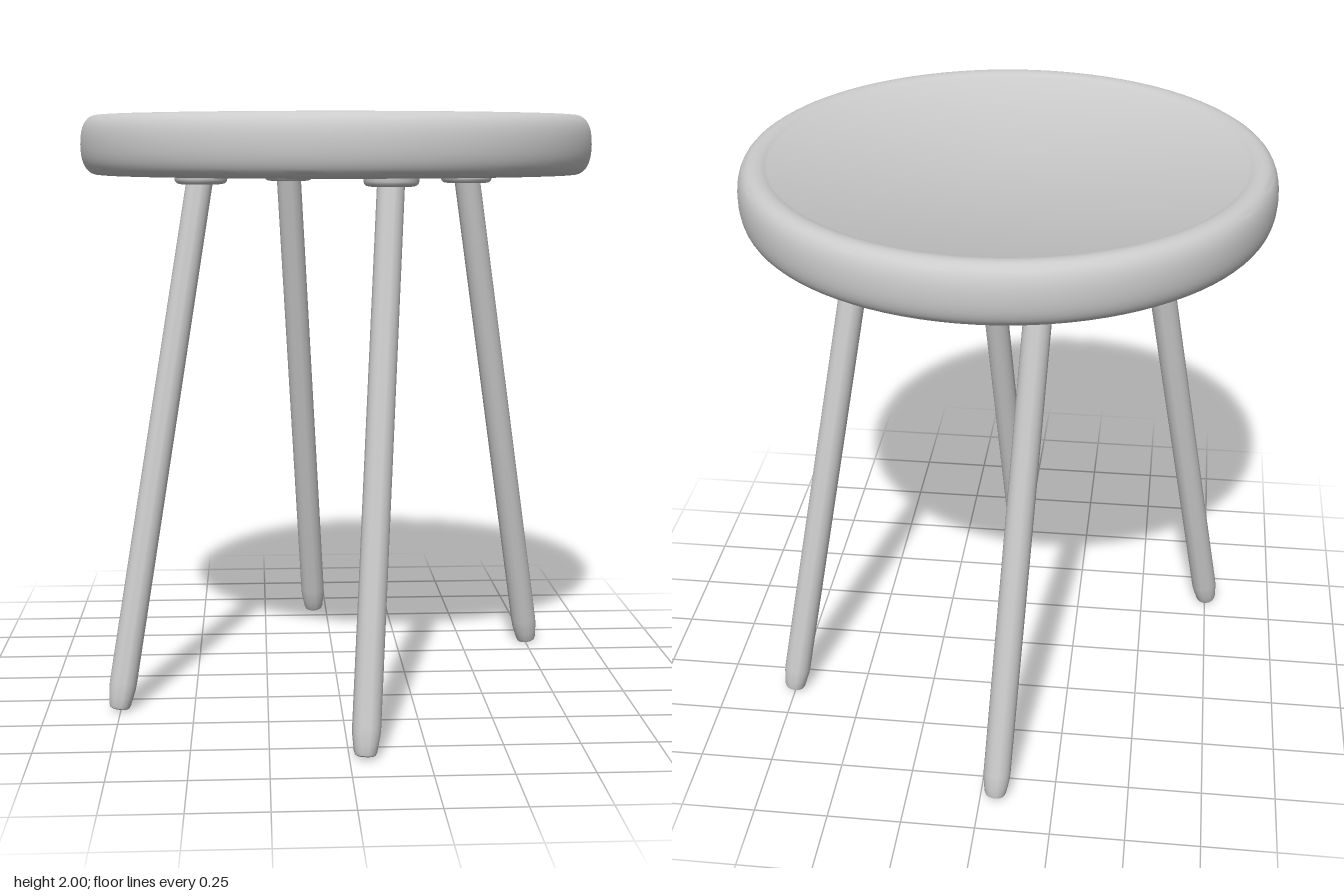
import * as THREE from 'three';
import { toCreasedNormals } from 'three/addons/utils/BufferGeometryUtils.js';

const material = new THREE.MeshStandardMaterial({ color: 0xcccccc });

// Smooth lathe that keeps its sharp rims crisp; points run bottom to top.
function lathe(name, points, segments) {
  const profile = points.map(([r, y]) => new THREE.Vector2(r, y));
  const geometry = toCreasedNormals(new THREE.LatheGeometry(profile, segments), 0.6);
  const mesh = new THREE.Mesh(geometry, material);
  mesh.name = name;
  return mesh;
}

// Round seat: flat underside, bulging edge, raised rim around a shallow dished top.
function createSeat() {
  const edge = new THREE.CubicBezierCurve(
    new THREE.Vector2(0.875, 1.9), new THREE.Vector2(0.875, 1.955),
    new THREE.Vector2(0.86, 2), new THREE.Vector2(0.815, 2));
  const upper = edge.getPoints(10).map((p) => [p.x, p.y]);
  const lower = upper.slice(1).reverse().map(([r, y]) => [r, 3.8 - y]);
  return lathe('seat', [
    [0, 1.8], ...lower, ...upper,
    [0.797, 1.998], [0.785, 1.993], [0.776, 1.988], [0, 1.988],
  ], 96);
}

// Splayed leg with a tapered, rounded tip.
function createLeg(foot, top) {
  const axis = top.clone().sub(foot);
  const length = axis.length();
  const leg = lathe('leg', [
    [0, 0], [0.026, 0], [0.033, 0.004], [0.037, 0.014], [0.041, 0.04],
    [0.045, 0.068], [0.046, 0.09], [0.045, length], [0, length],
  ], 32);
  leg.position.copy(foot);
  leg.quaternion.setFromUnitVectors(new THREE.Vector3(0, 1, 0), axis.normalize());
  return leg;
}

// Mounting collar under the seat.
function createCollar(x, z) {
  const collar = lathe('collar', [
    [0, 1.768], [0.07, 1.768], [0.08, 1.77], [0.087, 1.776],
    [0.09, 1.784], [0.09, 1.802], [0, 1.802],
  ], 40);
  collar.position.set(x, 0, z);
  return collar;
}

export function createModel() {
  const group = new THREE.Group();
  group.name = 'stool';
  group.add(createSeat());

  // Two distinct legs, each repeated half a turn around the stool.
  const legs = [
    { name: 'frontBackLeg', foot: [0.05, 0.84], top: [0.155, 0.452] },
    { name: 'sideLeg', foot: [-0.755, 0.358], top: [-0.465, 0.082] },
  ];
  for (const { name, foot, top } of legs) {
    for (const s of [1, -1]) {
      const assembly = new THREE.Group();
      assembly.name = name;
      assembly.add(
        createLeg(new THREE.Vector3(s * foot[0], 0.007, s * foot[1]),
          new THREE.Vector3(s * top[0], 1.805, s * top[1])),
        createCollar(s * top[0], s * top[1]));
      group.add(assembly);
    }
  }
  return group;
}
